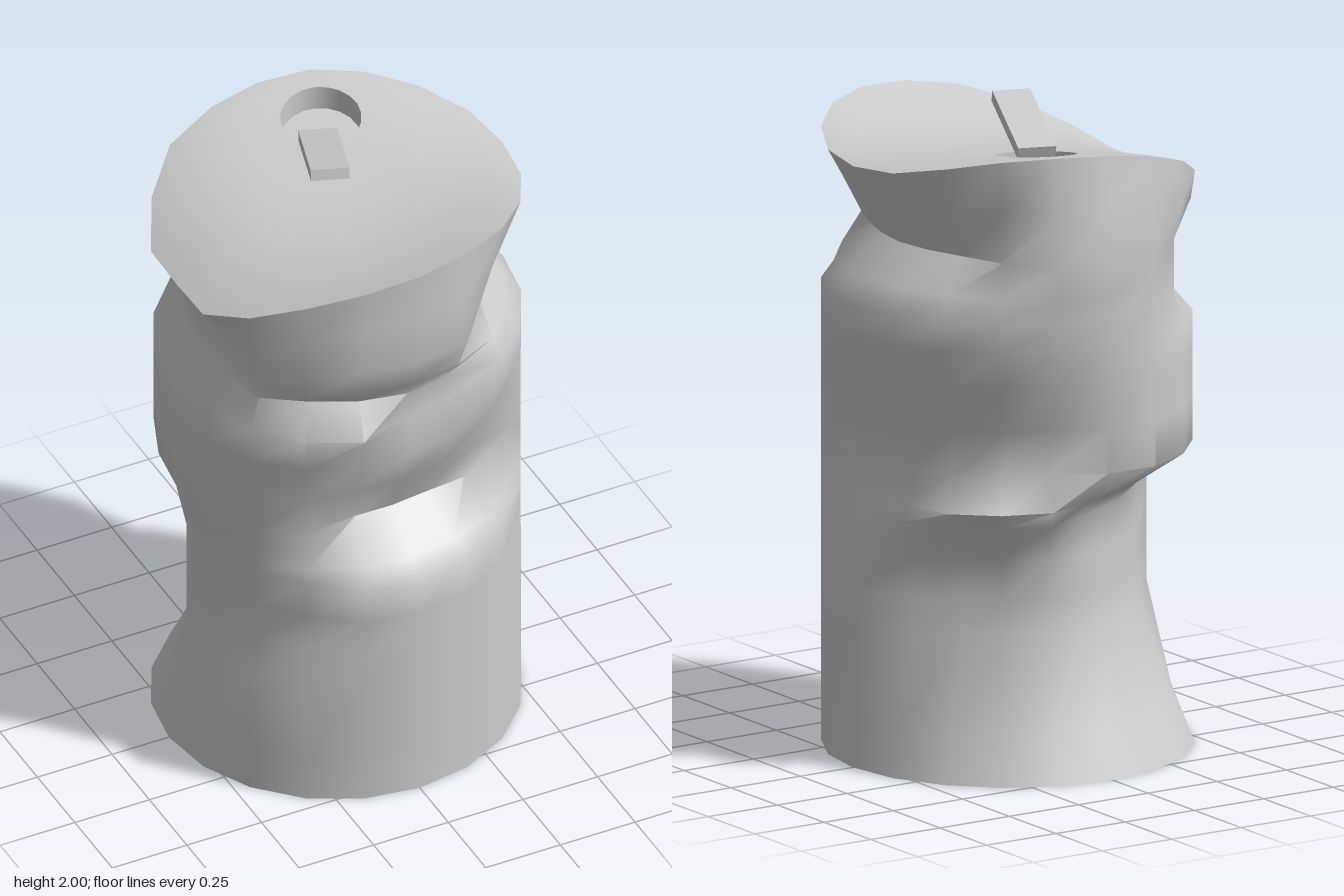
import * as THREE from 'three';
import { toCreasedNormals } from 'three/addons/utils/BufferGeometryUtils.js';

const SIDES = 20;
const RADIUS = 0.56;
const LEVELS = [0, 0.15, 0.43, 0.54, 0.66, 0.78, 0.83, 0.94, 1.08, 1.22, 1.34, 1.43, 1.5, 1.6];
const material = new THREE.MeshStandardMaterial({ color: 0xcccccc });

// A dent: centre angle and half width in degrees (from +x towards +z), depth (negative bulges out),
// then the heights where it starts, is deepest (from, to) and ends
const dent = (angle, width, depth, start, from, to, end) => ({ angle, width, depth, start, from, to, end });

const dents = [
  dent(0, 34, 0.11, 0.6, 0.94, 0.94, 1.34), // left side waist
  dent(0, 70, 0.17, 1.45, 1.6, 1.6, 1.86), // left side pinch under the rim
  dent(86, 48, 0.185, 0.78, 0.94, 0.94, 1.34), // front waist
  dent(80, 24, 0.09, 1.15, 1.34, 1.43, 1.55), // front crease
  dent(112, 42, 0.09, 1.34, 1.43, 1.43, 1.52), // front crease running to the right
  dent(144, 30, 0.05, 0.43, 0.54, 0.83, 1.34), // front right hollow
  dent(132, 24, -0.03, 1.43, 1.55, 1.6, 1.8), // front right bulge under the rim
  dent(180, 30, 0.06, 0, 0.43, 0.78, 1.05), // right side hollow
  dent(180, 40, 0.025, 0.8, 0.94, 1.34, 1.44), // right side flat
  dent(186, 54, 0.105, 1.34, 1.43, 1.6, 1.7), // right side pinch under the rim
  dent(236, 60, 0.205, 0, 0.43, 0.8, 0.94), // deep rear dent with a ledge above
  dent(306, 46, 0.18, 0, 0.43, 0.66, 0.86), // rear left dent
  dent(303, 36, 0.12, 0.78, 0.94, 0.94, 1.34), // rear left waist
  dent(287, 24, -0.025, 1.43, 1.6, 1.66, 1.84), // rear bulge
  dent(285, 50, 0.04, 1.66, 1.86, 1.93, 2), // rear of the rim
];

function wallRadius(deg, y) {
  let inward = 0, outward = 0;
  for (const d of dents) {
    const turn = Math.abs(((deg - d.angle + 540) % 360) - 180) / d.width;
    const rise = (y - d.start) / (d.from - d.start), fall = (d.end - y) / (d.end - d.to);
    // Heights with a single deepest point give an infinite ramp only at that point, which the clamp handles
    const strength = THREE.MathUtils.clamp(Math.min(rise, fall), 0, 1);
    const depth = turn < 1 ? d.depth * strength * (1 - turn ** 3) : 0;
    inward = Math.max(inward, depth);
    outward = Math.min(outward, depth);
  }
  return RADIUS - inward - outward;
}

// Bent lid: arched across its width, dropping faster to the right, and dished towards the middle
function lidHeight(x, z) {
  const t = x - 0.2;
  const arch = t < 0 ? 1.935 - 0.24 * t * t - 0.28 * t ** 4 - 0.2 * Math.abs(t) ** 7 : 1.935 - 0.6 * t * t;
  const dish = Math.max(0, 1 - (x * x + z * z) / (RADIUS * RADIUS));
  return arch - 0.08 * dish * (1 + z);
}

const settle = (p, drop = 0) => p.setY(lidHeight(p.x, p.z) - drop);

function polar(deg, r, y, cx = 0, cz = 0) {
  const a = THREE.MathUtils.degToRad(deg);
  return new THREE.Vector3(cx + r * Math.cos(a), y, cz + r * Math.sin(a));
}

const ring = (fn) => Array.from({ length: SIDES }, (_, i) => fn(i * 360 / SIDES, i));

// Skin a stack of closed rings
function loft(name, rings, crease) {
  const index = [];
  for (let j = 0; j < rings.length - 1; j++) {
    for (let i = 0; i < SIDES; i++) {
      const n = (i + 1) % SIDES;
      const a = j * SIDES + i, b = j * SIDES + n, c = a + SIDES, d = b + SIDES;
      index.push(a, c, b, b, c, d);
    }
  }
  const geometry = new THREE.BufferGeometry().setFromPoints(rings.flat());
  geometry.setIndex(index);
  const mesh = new THREE.Mesh(toCreasedNormals(geometry, crease), material);
  mesh.name = name;
  return mesh;
}

export function createModel() {
  const group = new THREE.Group();
  group.name = 'crushedCan';

  // Rim follows the bent lid
  const rim = ring((deg) => {
    const y = settle(polar(deg, RADIUS, 0)).y;
    return settle(polar(deg, wallRadius(deg, y), y));
  });

  // Crumpled wall
  const wall = LEVELS.map((y) => ring((deg) => polar(deg, wallRadius(deg, y), y)));
  wall.push(ring((deg, i) => {
    const y = (1.6 + rim[i].y) / 2;
    return polar(deg, wallRadius(deg, y), y);
  }));
  wall.push(rim);
  group.add(loft('crumpledWall', wall, 1));

  // Flat base
  group.add(loft('base', [ring((deg) => polar(deg, 0, 0)), wall[0]], 0.5));

  // Lid sweeping in from the rim to the round opening, then down into a pocket
  const hole = { x: 0.105, z: -0.31, r: 0.122, depth: 0.08 };
  const mouth = (r, drop) => ring((deg) => settle(polar(deg, r, 0, hole.x, hole.z), drop));
  const edge = mouth(hole.r, 0);
  const lid = [0, 0.2, 0.4, 0.6, 0.8, 1].map((t) => ring((deg, i) => settle(rim[i].clone().lerp(edge[i], t))));
  group.add(loft('lid', lid, 0.6));
  group.add(loft('opening', [edge, mouth(hole.r, hole.depth), mouth(0, hole.depth)], 0.6));

  // Raised pull tab
  const tab = new THREE.Mesh(new THREE.BoxGeometry(0.117, 0.035, 0.34), material);
  tab.name = 'pullTab';
  tab.rotation.set(-0.29, -0.35, 0, 'YXZ');
  tab.position.set(0.01, 1.933, -0.1);
  group.add(tab);

  return group;
}
